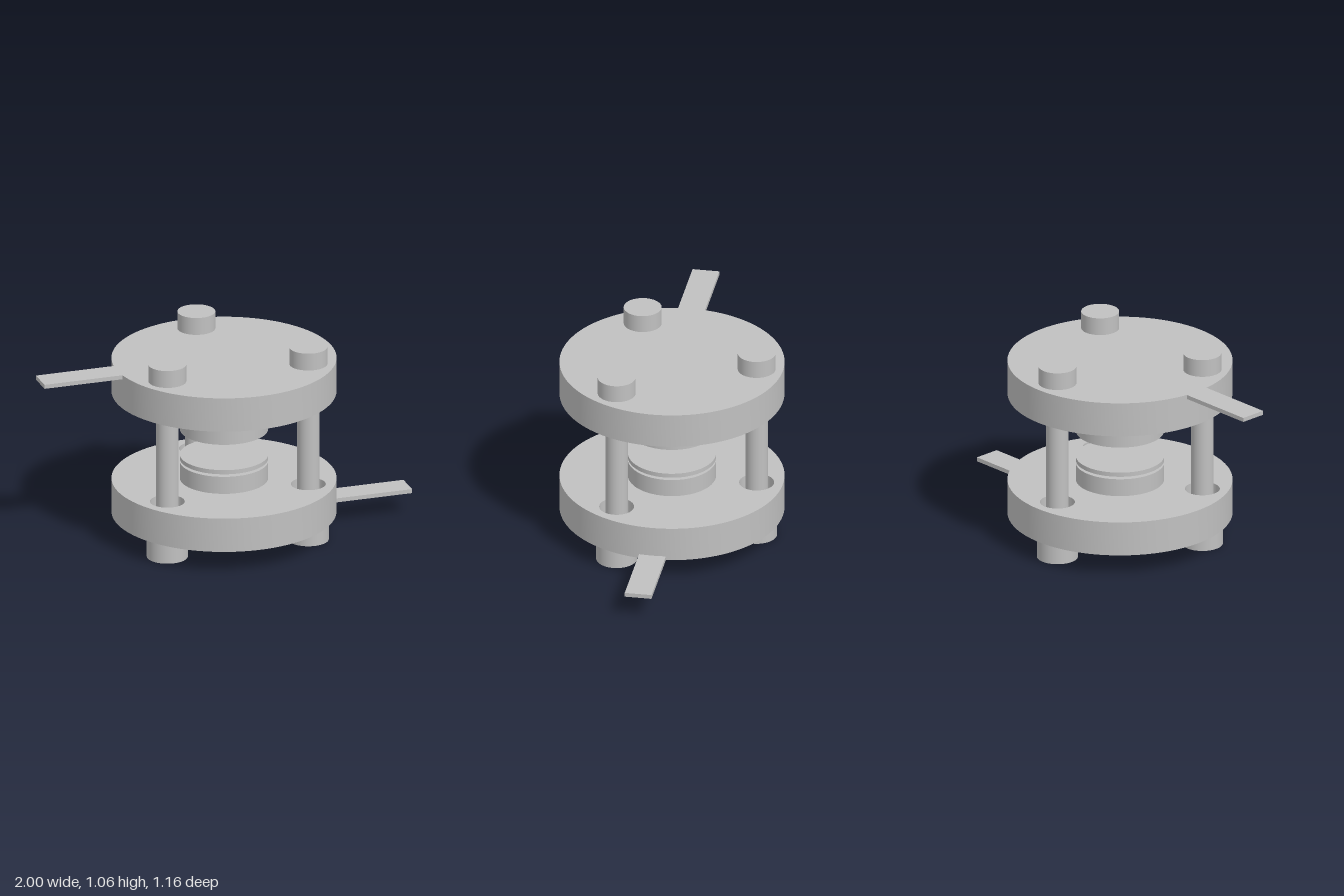
import * as THREE from 'three';
import { toCreasedNormals } from 'three/addons/utils/BufferGeometryUtils.js';

export function createModel() {
  const model = new THREE.Group();
  model.name = 'clampAssembly';
  const steel = new THREE.MeshStandardMaterial({ color: 0xc0c0c0 });
  steel.name = 'grey steel';

  const plateRadius = 0.58;
  // Bolt centres [x, z], spaced evenly around the plate
  const bolts = [0, 1, 2].map((i) => {
    const a = -Math.PI / 2 + (i * Math.PI * 2) / 3;
    return [0.443 * Math.cos(a), 0.443 * Math.sin(a)];
  });

  function add(name, geometry, x = 0, y = 0, z = 0) {
    const mesh = new THREE.Mesh(geometry, steel);
    mesh.name = name;
    mesh.position.set(x, y, z);
    model.add(mesh);
  }

  function cylinder(name, radius, y0, y1, x = 0, z = 0) {
    add(name, new THREE.CylinderGeometry(radius, radius, y1 - y0, 64), x, (y0 + y1) / 2, z);
  }

  // Round plate with three clearance holes
  function plate(name, y0, y1) {
    const shape = new THREE.Shape().absarc(0, 0, plateRadius, 0, Math.PI * 2);
    for (const [x, z] of bolts) {
      shape.holes.push(new THREE.Path().absarc(x, -z, 0.09, 0, Math.PI * 2, true));
    }
    const geometry = new THREE.ExtrudeGeometry(shape, { depth: y1 - y0, bevelEnabled: false, curveSegments: 64 });
    geometry.rotateX(-Math.PI / 2);
    add(name, toCreasedNormals(geometry, 0.6), 0, y0, 0);
  }

  // Flat terminal strip starting at the plate rim
  function tab(name, side, y0, y1) {
    const inner = 0.575;
    add(name, new THREE.BoxGeometry(1 - inner, y1 - y0, 0.14), side * (1 + inner) / 2, (y0 + y1) / 2, 0);
  }

  plate('lowerPlate', 0.12, 0.304);
  plate('upperPlate', 0.785, 0.969);
  tab('lowerTab', 1, 0.12, 0.142);
  tab('upperTab', -1, 0.947, 0.969);

  // Central contacts, with the thin disc held in the gap
  cylinder('lowerContact', 0.228, 0.304, 0.398);
  cylinder('contactDisc', 0.228, 0.412, 0.435);
  cylinder('upperContact', 0.228, 0.575, 0.785);

  // Through bolts with top heads and bottom nuts
  for (const [x, z] of bolts) {
    cylinder('boltShaft', 0.058, 0.12, 0.969, x, z);
    cylinder('boltHead', 0.098, 0.969, 1.062, x, z);
    cylinder('boltNut', 0.106, 0, 0.12, x, z);
  }
  return model;
}
